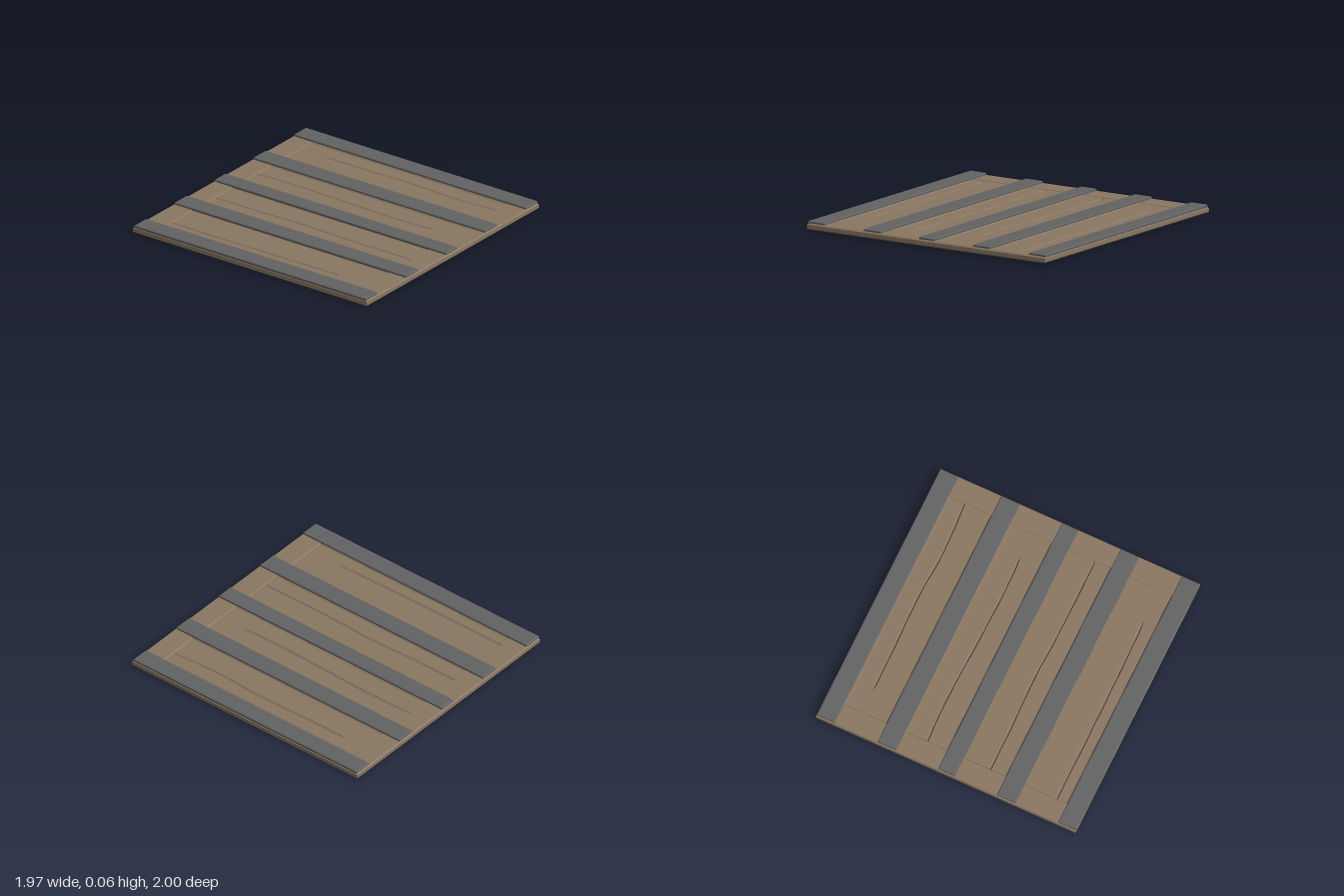
import * as THREE from 'three';

const wood = new THREE.MeshStandardMaterial({ color: 0x8a7762 });
wood.name = 'brown wood';
const iron = new THREE.MeshStandardMaterial({ color: 0x636363 });
iron.name = 'grey iron';

// Traces a rectangle into a Shape or Path
function rect(path, x0, x1, z0, z1) {
  path.moveTo(x0, z0);
  path.lineTo(x1, z0);
  path.lineTo(x1, z1);
  path.lineTo(x0, z1);
  path.closePath();
  return path;
}

// Lays a shape flat with chamfered edges, from y0 to y1; the shape is grown by the chamfer
function flatSlab(shape, y0, y1, bevel, thickness) {
  const g = new THREE.ExtrudeGeometry(shape, {
    depth: y1 - y0 - 2 * thickness,
    bevelEnabled: true, bevelSize: bevel, bevelThickness: thickness, bevelSegments: 1,
  });
  g.rotateX(-Math.PI / 2);
  g.translate(0, y0 + thickness, 0);
  return g;
}

// Board face with a V-shaped crack that wanders along z and tapers at its ends
function crackedFace(x0, x1, halfZ, y, depth, crack) {
  const curve = new THREE.SplineCurve(crack.map(([z, x]) => new THREE.Vector2(z, x)));
  const zs = [], mids = [], widths = [];
  const steps = 16;
  const first = crack[0][0], last = crack[crack.length - 1][0];
  if (first > -halfZ) { zs.push(-halfZ); mids.push(crack[0][1]); widths.push(0.001); }
  for (let i = 0; i <= steps; i++) {
    const p = curve.getPoint(i / steps);
    const closedEnd = (i === 0 && first > -halfZ) || (i === steps && last < halfZ);
    zs.push(p.x);
    mids.push(p.y);
    widths.push(closedEnd ? 0.001 : 0.011 + 0.002 * Math.sin(i * 1.9));
  }
  if (last < halfZ) { zs.push(halfZ); mids.push(crack[crack.length - 1][1]); widths.push(0.001); }

  const pos = [], index = [];
  zs.forEach((z, i) => {
    const c = mids[i], w = widths[i];
    const low = y - depth * Math.min(1, Math.max(0, (w - 0.001) / 0.009));
    pos.push(x0, y, z, c - w, y, z, c, low, z, c + w, y, z, x1, y, z);
    if (i === 0) return;
    for (let k = 0; k < 4; k++) {
      const a = (i - 1) * 5 + k, b = i * 5 + k;
      // Negative depth marks a face that looks down
      if (depth > 0) index.push(a, b, a + 1, b, b + 1, a + 1);
      else index.push(a, a + 1, b, b, a + 1, b + 1);
    }
  });
  const g = new THREE.BufferGeometry();
  g.setAttribute('position', new THREE.Float32BufferAttribute(pos, 3));
  g.setIndex(index);
  const flat = g.toNonIndexed();
  flat.computeVertexNormals();
  return flat;
}

export function createModel() {
  const model = new THREE.Group();
  model.name = 'woodenHatch';
  const add = (geometry, material, name) => {
    const mesh = new THREE.Mesh(geometry, material);
    mesh.name = name;
    model.add(mesh);
  };

  // Each panel: side edges and the path of its crack as [z, x]
  const panelEnd = 0.835;
  const panels = [
    { x0: -0.84, x1: -0.53, crack: [[-0.84, -0.762], [-0.3, -0.762], [0.2, -0.757], [0.6, -0.748]] },
    { x0: -0.375, x1: -0.07, crack: [[-0.84, -0.258], [-0.5, -0.257], [-0.1, -0.246], [0.25, -0.257], [0.84, -0.258]] },
    { x0: 0.07, x1: 0.37, crack: [[-0.84, 0.22], [-0.5, 0.231], [0, 0.216], [0.4, 0.209], [0.66, 0.22]] },
    { x0: 0.53, x1: 0.835, crack: [[-0.68, 0.715], [-0.3, 0.719], [0.1, 0.727], [0.45, 0.711], [0.84, 0.73]] },
  ];

  // Frame with four openings and chamfered edges
  const b = 0.008;
  const outline = rect(new THREE.Shape(), -0.985 + b, 0.985 - b, -1 + b, 1 - b);
  for (const p of panels) {
    outline.holes.push(rect(new THREE.Path(), p.x0 - b, p.x1 + b, -panelEnd - b, panelEnd + b));
  }
  add(flatSlab(outline, 0, 0.044, b, 0.009), wood, 'frame');

  // Sunken boards, cracked above and lightly below
  panels.forEach((p, i) => {
    const x0 = p.x0 - 0.005, x1 = p.x1 + 0.005;
    add(crackedFace(x0, x1, 0.84, 0.037, 0.014, p.crack), wood, `panelTop${i + 1}`);
    add(crackedFace(x0, x1, 0.84, 0.005, -0.004, p.crack), wood, `panelBottom${i + 1}`);
  });

  // Five iron straps across the top
  const c = 0.005;
  const straps = [[-0.985, -0.85], [-0.525, -0.385], [-0.065, 0.06], [0.38, 0.52], [0.847, 0.982]];
  straps.forEach(([x0, x1], i) => {
    const shape = rect(new THREE.Shape(), x0 + c, x1 - c, -0.99 + c, 0.99 - c);
    add(flatSlab(shape, 0.036, 0.06, c, 0.005), iron, `strap${i + 1}`);
  });

  return model;
}
